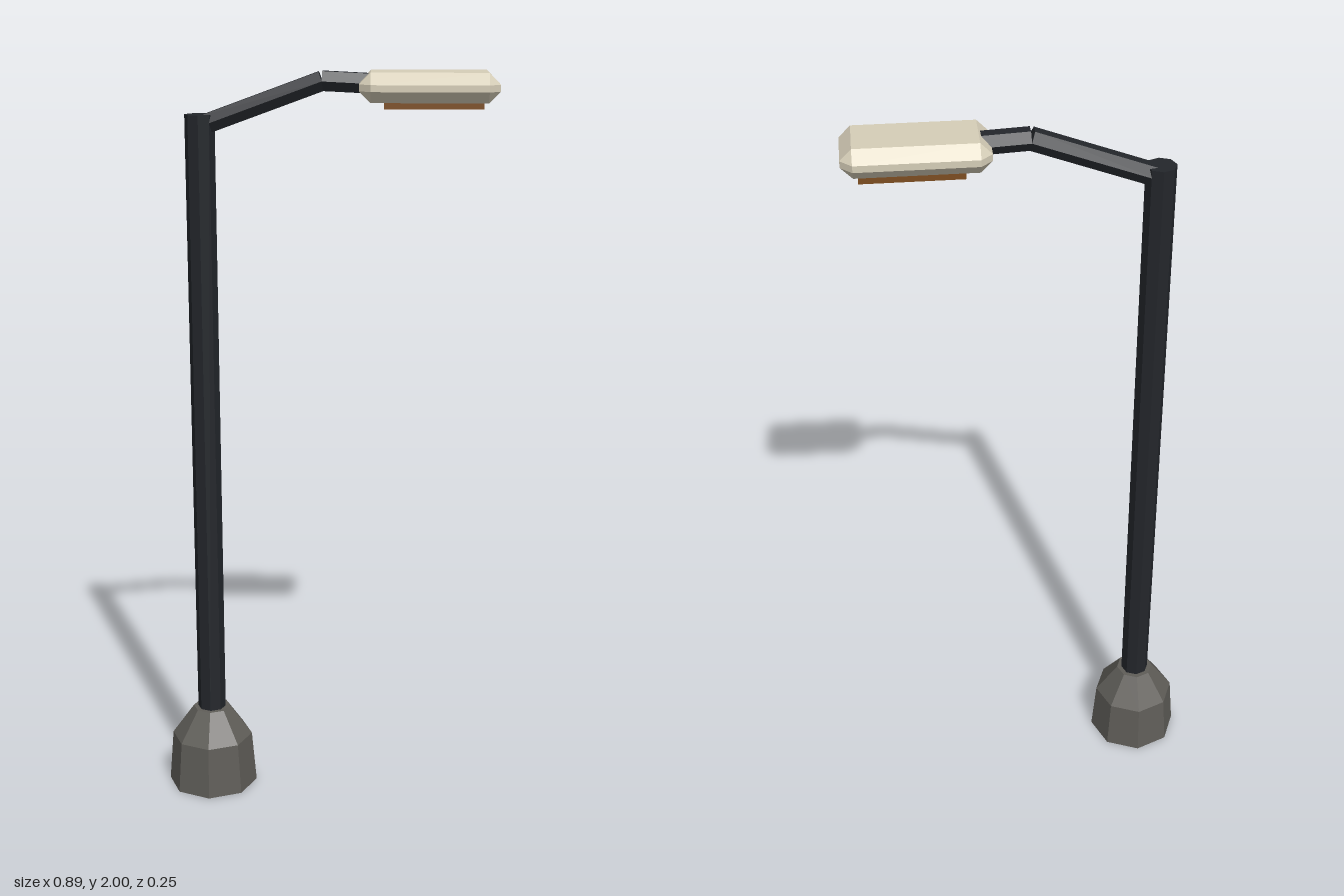
import * as THREE from 'three';
import { ConvexGeometry } from 'three/addons/geometries/ConvexGeometry.js';

const POLE_X = -0.32;

function material(color) {
  return new THREE.MeshStandardMaterial({ color, flatShading: true });
}

// Straight faceted rod between two points in the x-y plane
function rod(x0, y0, x1, y1, radius, sides, mat) {
  const length = Math.hypot(x1 - x0, y1 - y0);
  const mesh = new THREE.Mesh(new THREE.CylinderGeometry(radius, radius, length, sides), mat);
  mesh.position.set((x0 + x1) / 2, (y0 + y1) / 2, 0);
  mesh.rotation.z = Math.atan2(y1 - y0, x1 - x0) - Math.PI / 2;
  return mesh;
}

// Box with every edge and corner chamfered by c
function chamferedBox(w, h, d, c) {
  const points = [];
  for (const sx of [-1, 1]) for (const sy of [-1, 1]) for (const sz of [-1, 1]) {
    const x = w / 2, y = h / 2, z = d / 2;
    points.push(
      new THREE.Vector3(sx * x, sy * (y - c), sz * (z - c)),
      new THREE.Vector3(sx * (x - c), sy * y, sz * (z - c)),
      new THREE.Vector3(sx * (x - c), sy * (y - c), sz * z)
    );
  }
  return new ConvexGeometry(points);
}

export function createModel() {
  const model = new THREE.Group();
  model.name = 'streetLamp';
  const add = (name, mesh) => {
    mesh.name = name;
    model.add(mesh);
    return mesh;
  };
  const stone = material(0x5f5d58);
  const metal = material(0x23262b);
  const cream = material(0xd6ceb8);
  const amber = material(0x7d4d20);

  // Octagonal footing: gently tapered wall, then a steep shoulder
  const profile = [[0, 0], [0.125, 0], [0.113, 0.145], [0.052, 0.23], [0, 0.23]]
    .map(([r, y]) => new THREE.Vector2(r, y));
  add('base', new THREE.Mesh(new THREE.LatheGeometry(profile, 8), stone)).position.x = POLE_X;

  // Upright pole
  add('pole', rod(POLE_X, 0.2, POLE_X, 1.89, 0.039, 8, metal));

  // Two-piece arm: rising part, then nearly level part entering the lamp head
  add('risingArm', rod(POLE_X, 1.86, -0.005, 1.975, 0.0285, 6, metal));
  add('levelArm', rod(-0.005, 1.975, 0.14, 1.968, 0.0285, 6, metal));

  // Lamp head and the light panel below it
  const head = add('lampHead', new THREE.Mesh(chamferedBox(0.355, 0.075, 0.184, 0.029), cream));
  head.position.set(0.2675, 1.962, 0);
  const panel = add('lightPanel', new THREE.Mesh(new THREE.BoxGeometry(0.252, 0.025, 0.126), amber));
  panel.position.set(0.279, 1.922, 0);

  return model;
}
